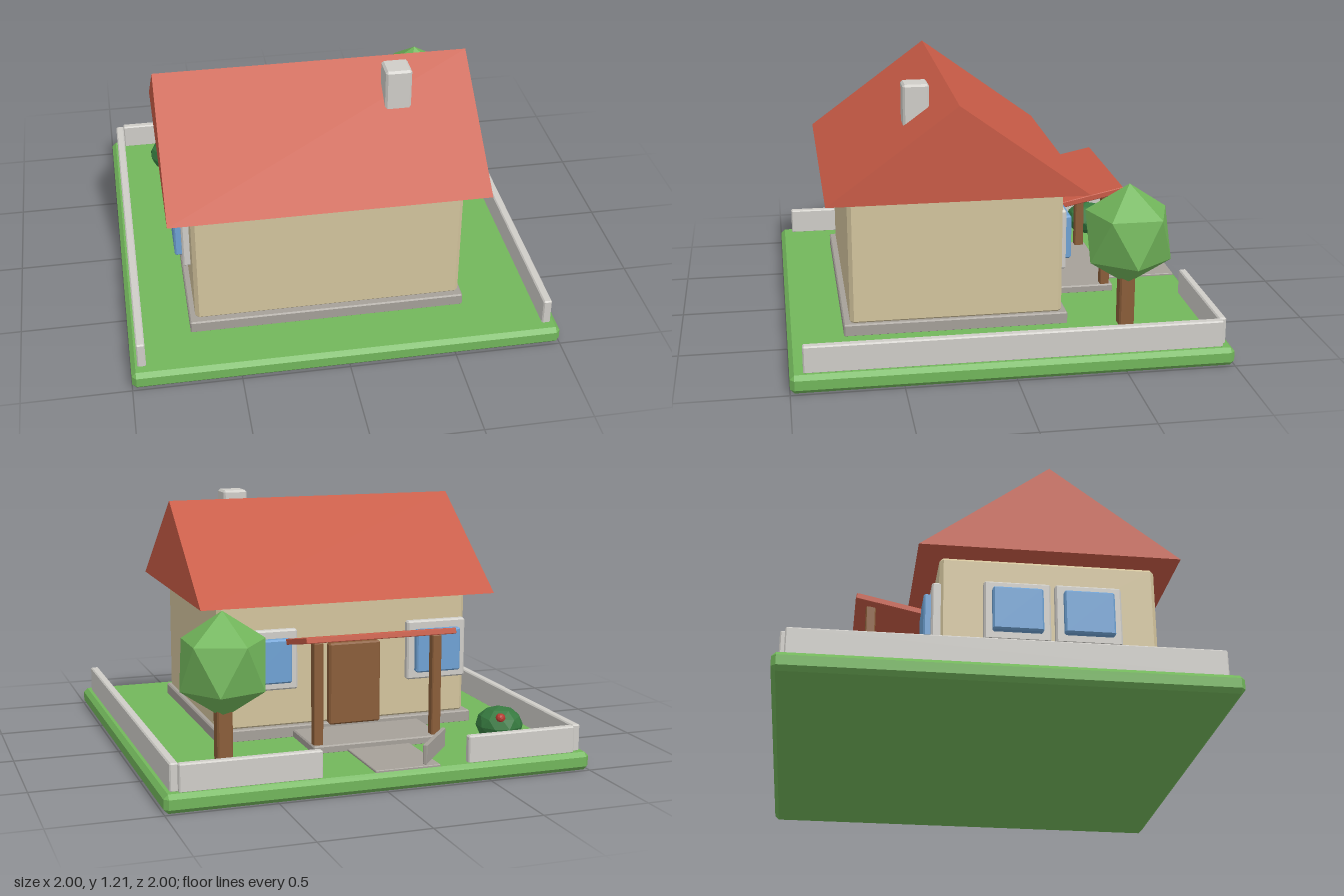
import * as THREE from 'three';
import { ConvexGeometry } from 'three/addons/geometries/ConvexGeometry.js';

const paint = (name, color) => {
  const m = new THREE.MeshStandardMaterial({ color, flatShading: true });
  m.name = name;
  return m;
};

// Box given by its extents, with all edges chamfered by b
function chamferBox([x0, x1], [y0, y1], [z0, z1], b) {
  const h = [(x1 - x0) / 2, (y1 - y0) / 2, (z1 - z0) / 2];
  const pts = [];
  for (const sx of [-1, 1]) for (const sy of [-1, 1]) for (const sz of [-1, 1]) {
    for (let full = 0; full < 3; full++) {
      const d = h.map((v, i) => (i === full ? v : v - b));
      pts.push(new THREE.Vector3(sx * d[0], sy * d[1], sz * d[2]));
    }
  }
  return new ConvexGeometry(pts).translate((x0 + x1) / 2, (y0 + y1) / 2, (z0 + z1) / 2);
}

// Icosahedron standing on a vertex
function foliage(rx, ry, detail) {
  return new THREE.IcosahedronGeometry(1, detail)
    .rotateZ(Math.atan2(1, (1 + Math.sqrt(5)) / 2))
    .scale(rx, ry, rx);
}

export function createModel() {
  const grass = paint('grass green', 0x72b65b);
  const hedge = paint('bush green', 0x36793f);
  const cream = paint('wall cream', 0xd3c49d);
  const red = paint('roof red', 0xc85b46);
  const berryRed = paint('berry red', 0xb53a30);
  const stone = paint('light stone', 0xcfcdc8);
  const slab = paint('grey slab', 0xa5a099);
  const wood = paint('wood brown', 0x8a5d39);
  const blue = paint('window blue', 0x6fa2d4);

  const model = new THREE.Group();
  model.name = 'cottage';
  const add = (name, geometry, material, parent = model) => {
    const mesh = new THREE.Mesh(geometry, material);
    mesh.name = name;
    parent.add(mesh);
    return mesh;
  };
  const box = (name, x, y, z, b, material, parent) =>
    add(name, chamferBox(x, y, z, b), material, parent);

  // Ground and garden path
  box('lawn', [-1, 1], [0, 0.085], [-1, 1], 0.02, grass);
  box('path', [-0.26, 0.05], [0.07, 0.095], [-0.98, -0.58], 0.003, slab);

  // Garden walls, with a gap at the back for the gate
  const fy = [0.08, 0.208];
  box('sideWall', [-0.97, -0.93], fy, [-0.95, 0.94], 0.006, stone);
  box('sideWall', [0.925, 0.965], fy, [-0.95, 0.94], 0.006, stone);
  box('backWall', [-0.93, -0.4], fy, [-0.972, -0.935], 0.006, stone);
  box('backWall', [0.29, 0.93], fy, [-0.972, -0.935], 0.006, stone);

  // Gate standing ajar
  const gate = box('gate', [-0.155, 0.155], [0.095, 0.185], [-0.01, 0.01], 0.003, slab);
  gate.position.set(-0.288, 0, -0.84);
  gate.rotation.y = Math.atan2(0.24, 0.195);

  // House body
  box('foundation', [-0.71, 0.59], [0.08, 0.14], [-0.31, 0.74], 0.006, slab);
  box('houseWalls', [-0.682, 0.575], [0.13, 0.742], [-0.285, 0.71], 0.018, cream);

  // Gabled roof, extruded along x
  const gable = new THREE.Shape([
    new THREE.Vector2(-0.6, 0), new THREE.Vector2(0.6, 0), new THREE.Vector2(0, 0.44),
  ]);
  const roof = add('roof', new THREE.ExtrudeGeometry(gable, { depth: 1.47, bevelEnabled: false })
    .translate(0, 0, -0.735).rotateY(Math.PI / 2), red);
  roof.position.set(-0.055, 0.74, 0.21);
  box('chimney', [0.255, 0.377], [0.9, 1.21], [0.308, 0.43], 0.01, stone);

  // Windows: frame and raised pane, facing +z before turning
  const addWindow = (x, z, turn) => {
    const win = new THREE.Group();
    win.name = 'window';
    box('windowFrame', [-0.152, 0.152], [0.322, 0.612], [-0.02, 0.035], 0.008, stone, win);
    box('windowPane', [-0.115, 0.115], [0.36, 0.572], [0.02, 0.068], 0.008, blue, win);
    win.position.set(x, 0, z);
    win.rotation.y = turn;
    model.add(win);
  };
  for (const x of [-0.52, 0.345]) addWindow(x, -0.283, Math.PI);
  for (const z of [0.065, 0.39]) addWindow(-0.682, z, -Math.PI / 2);

  // Door and porch
  box('door', [-0.225, 0.035], [0.13, 0.53], [-0.325, -0.26], 0.008, wood);
  box('porchFloor', [-0.43, 0.215], [0.08, 0.12], [-0.62, -0.3], 0.006, slab);
  for (const x of [-0.4, 0.185]) {
    box('porchPost', [x - 0.023, x + 0.023], [0.11, 0.6], [-0.603, -0.557], 0.005, wood);
  }
  const porchRoof = box('porchRoof', [-0.367, 0.367], [-0.014, 0.014], [-0.19, 0.19], 0.003, red);
  porchRoof.position.set(-0.107, 0.585, -0.465);
  porchRoof.rotation.x = 0.21;

  // Tree
  box('treeTrunk', [0.594, 0.667], [0.08, 0.42], [-0.613, -0.541], 0.008, wood);
  add('treeCrown', foliage(0.224, 0.245, 0), grass).position.set(0.63, 0.528, -0.58);

  // Bush with a berry
  add('bush', foliage(0.112, 0.088, 1), hedge).position.set(-0.686, 0.168, -0.69);
  add('berry', new THREE.IcosahedronGeometry(0.023, 1), berryRed).position.set(-0.655, 0.218, -0.765);

  return model;
}
